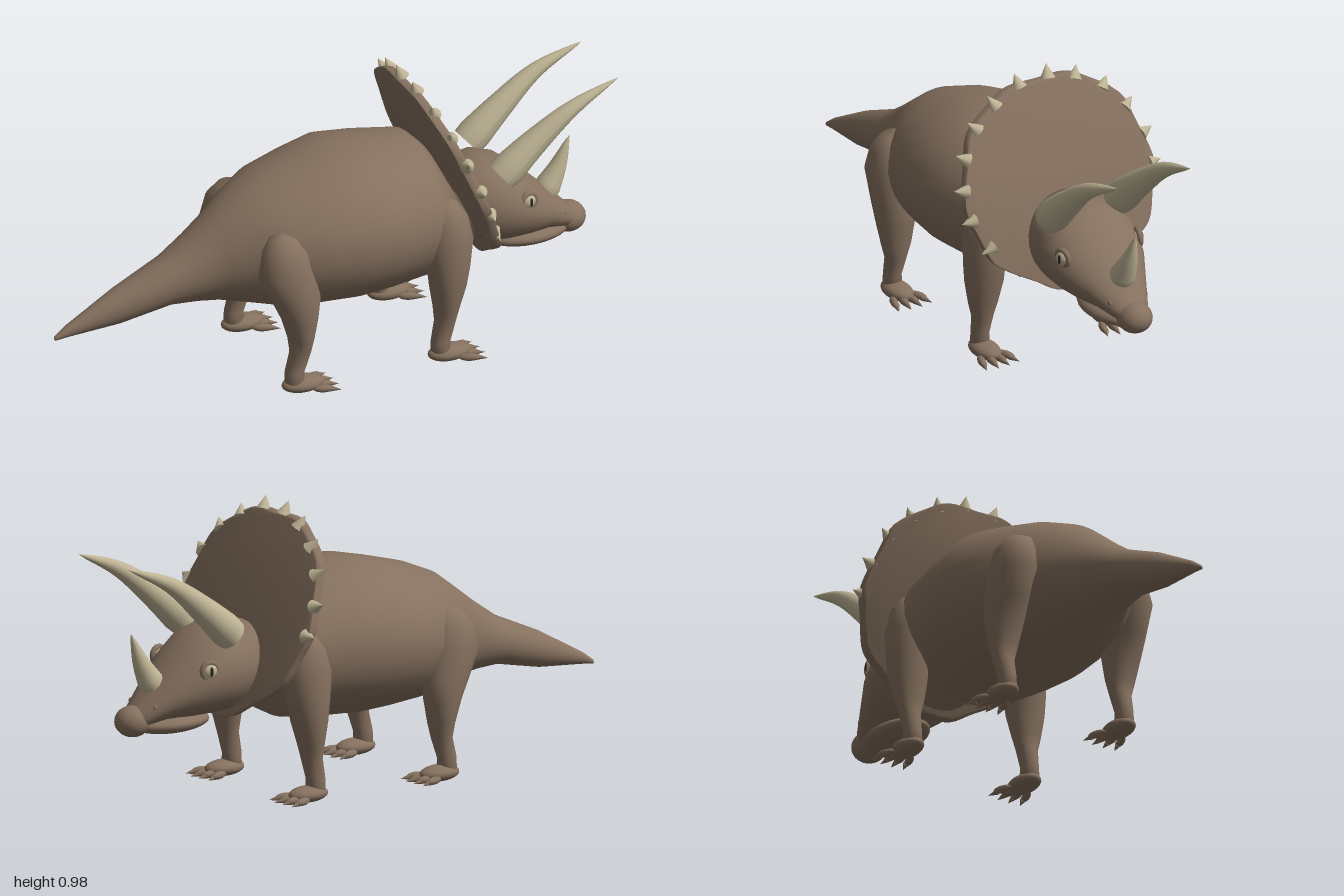
import * as THREE from 'three';
import { toCreasedNormals } from 'three/addons/utils/BufferGeometryUtils.js';

const mat = (name, color) => {
  const m = new THREE.MeshStandardMaterial({ color });
  m.name = name;
  return m;
};

// Skin of elliptical rings [t, c1, r1, c2, r2] along x (c1 = y, c2 = z) or y (c1 = x, c2 = z)
function loft(rings, axis, n = 28) {
  const pos = [], idx = [];
  rings.forEach(([t, c1, r1, c2, r2], i) => {
    for (let j = 0; j < n; j++) {
      const a = (j / n) * Math.PI * 2, c = Math.cos(a), s = Math.sin(a);
      if (axis === 'x') pos.push(t, c1 + r1 * c, c2 + r2 * s);
      else pos.push(c1 + r1 * s, t, c2 + r2 * c);
      if (i < rings.length - 1) {
        const p = i * n + j, q = i * n + ((j + 1) % n);
        idx.push(p, q, p + n, q, q + n, p + n);
      }
    }
  });
  const g = new THREE.BufferGeometry();
  g.setAttribute('position', new THREE.Float32BufferAttribute(pos, 3));
  g.setIndex(idx);
  g.computeVertexNormals();
  return g;
}

// Curved horn tapering to a point
function hornGeometry(points, radius, sides = 18) {
  const curve = new THREE.CatmullRomCurve3(points.map(p => new THREE.Vector3(...p)));
  const seg = 14, g = new THREE.TubeGeometry(curve, seg, radius, sides);
  const p = g.attributes.position, v = new THREE.Vector3();
  for (let i = 0; i <= seg; i++) {
    const c = curve.getPointAt(i / seg), k = i === 0 ? 0.9 : Math.pow(1 - i / seg, 0.8);
    for (let j = 0; j <= sides; j++) {
      const id = i * (sides + 1) + j;
      v.fromBufferAttribute(p, id).sub(c).multiplyScalar(k).add(c);
      p.setXYZ(id, v.x, v.y, v.z);
    }
  }
  g.computeVertexNormals();
  return g;
}

// The frill leans back: x of its front face at height y
const frillX = y => 0.295 + (0.95 - y) * 0.39;

export function createModel() {
  const root = new THREE.Group();
  root.name = 'hornedDinosaur';
  const skin = mat('brownSkin', 0x86715f);
  const bone = mat('paleHorn', 0xbdb293);
  const dark = mat('darkPupil', 0x2a231d);

  const add = (name, geo, material, parent = root) => {
    const m = new THREE.Mesh(geo, material);
    m.name = name;
    parent.add(m);
    return m;
  };
  const ball = (name, p, s, material = skin, parent = root) => {
    const m = add(name, new THREE.SphereGeometry(1, 24, 16), material, parent);
    m.position.set(...p);
    m.scale.set(...s);
    return m;
  };

  // Trunk and tail
  add('body', loft([
    [-1, 0.257, 0, 0, 0], [-0.995, 0.258, 0.008, 0, 0.008], [-0.95, 0.277, 0.021, 0, 0.019],
    [-0.77, 0.333, 0.063, 0, 0.056], [-0.59, 0.39, 0.084, 0, 0.09], [-0.5, 0.418, 0.117, 0, 0.114],
    [-0.42, 0.443, 0.152, 0, 0.142], [-0.33, 0.465, 0.195, 0, 0.2], [-0.22, 0.475, 0.23, 0, 0.275],
    [-0.09, 0.487, 0.252, 0, 0.308], [0.03, 0.498, 0.268, 0, 0.327], [0.15, 0.495, 0.26, 0, 0.312],
    [0.31, 0.49, 0.24, 0, 0.282], [0.35, 0.48, 0.21, 0, 0.25], [0.42, 0.45, 0.11, 0, 0.16],
    [0.43, 0.45, 0, 0, 0],
  ], 'x', 36), skin);

  // Head, beak and lower jaw
  add('head', loft([
    [0.4, 0.45, 0, 0, 0], [0.42, 0.455, 0.14, 0, 0.15], [0.56, 0.457, 0.155, 0, 0.178],
    [0.63, 0.443, 0.143, 0, 0.177], [0.7, 0.415, 0.116, 0, 0.155], [0.78, 0.376, 0.077, 0, 0.11],
    [0.86, 0.328, 0.046, 0, 0.066], [0.9, 0.31, 0.02, 0, 0.03], [0.905, 0.31, 0, 0, 0],
  ], 'x', 32), skin);
  ball('beak', [0.88, 0.306, 0], [0.062, 0.053, 0.06]);
  ball('lowerJaw', [0.73, 0.287, 0], [0.15, 0.037, 0.09]);

  // Neck frill: an outline mirrored in z, extruded and sheared backwards
  const half = [[0, 0.94], [0.12, 0.938], [0.2, 0.9], [0.3, 0.83], [0.335, 0.74], [0.372, 0.61],
    [0.345, 0.52], [0.31, 0.43], [0.26, 0.39], [0.16, 0.335], [0.09, 0.295], [0, 0.285]];
  const outline = [...half, ...half.slice(1, -1).reverse().map(([z, y]) => [-z, y])];
  const rim = new THREE.CatmullRomCurve3(outline.map(([z, y]) => new THREE.Vector3(z, y, 0)), true);
  const frillShape = new THREE.Shape(rim.getPoints(90).slice(0, -1).map(p => new THREE.Vector2(p.x, p.y)));
  let frill = new THREE.ExtrudeGeometry(frillShape, {
    depth: 0.02, bevelThickness: 0.007, bevelSize: 0.006, bevelOffset: -0.006, bevelSegments: 2,
  });
  frill.rotateY(Math.PI / 2).translate(-0.027, 0, 0);
  const fp = frill.attributes.position;
  for (let i = 0; i < fp.count; i++) fp.setX(i, fp.getX(i) + frillX(fp.getY(i)));
  frill.computeVertexNormals();
  frill = toCreasedNormals(frill, 0.7);
  add('frill', frill, skin);

  // Small spikes around the frill rim, as [z, y]
  const spikes = [[0.32, 0.47], [0.37, 0.57], [0.375, 0.67], [0.345, 0.77], [0.28, 0.855], [0.19, 0.915],
    [0.08, 0.958], [-0.04, 0.962], [-0.145, 0.935], [-0.245, 0.88], [-0.32, 0.8], [-0.367, 0.7], [-0.375, 0.6]];
  const up = new THREE.Vector3(0, 1, 0);
  for (const [z, y] of spikes) {
    const s = add('frillSpike', new THREE.ConeGeometry(0.026, 0.05, 12), bone);
    s.position.set(frillX(y) - 0.008, y, z);
    const dy = y - 0.58;
    s.quaternion.setFromUnitVectors(up, new THREE.Vector3(-0.39 * dy, dy, z).normalize());
  }

  // Nose horn
  add('noseHorn', hornGeometry([[0.8, 0.42, 0], [0.845, 0.5, 0], [0.887, 0.605, 0]], 0.047), bone);

  for (const side of [1, -1]) {
    // Brow horns
    add('browHorn', hornGeometry([[0.575, 0.585, 0.135 * side], [0.69, 0.685, 0.14 * side],
      [0.83, 0.79, 0.148 * side], [1, 0.865, 0.143 * side]], 0.061), bone);

    // Eyes, with lids and slit pupils
    const eye = new THREE.Group();
    eye.name = 'eye';
    eye.position.set(0.67, 0.477, 0.148 * side);
    eye.rotation.y = side > 0 ? 0.2 : Math.PI - 0.2;
    root.add(eye);
    add('eyelid', new THREE.TorusGeometry(0.027, 0.01, 10, 24), skin, eye);
    ball('eyeball', [0, 0, 0], [0.026, 0.026, 0.018], bone, eye);
    ball('pupil', [0, 0, 0.016], [0.006, 0.016, 0.004], dark, eye);
    ball('nostril', [0.835, 0.358, 0.071 * side], [0.01, 0.011, 0.006]);

    // Legs: ankle x, hip x and hip width
    for (const [name, ax, hx, k] of [['frontLeg', 0.305, 0.335, 1], ['hindLeg', -0.23, -0.255, 1.15]]) {
      const mid = (t) => ax + (hx - ax) * t + (k > 1 ? 0.035 : 0.008) * Math.sin(Math.PI * t);
      const leg = new THREE.Group();
      leg.name = name;
      root.add(leg);
      add(name + 'Limb', loft([
        [0.015, ax, 0, 0.24 * side, 0], [0.02, ax, 0.034, 0.24 * side, 0.035],
        [0.08, ax, 0.034, 0.24 * side, 0.03], [0.15, mid(0.3), 0.036, 0.24 * side, 0.038],
        [0.2, mid(0.4), 0.043, 0.24 * side, 0.053], [0.28, mid(0.6), 0.062, 0.24 * side, 0.067],
        [0.35, mid(0.75), 0.073 * k, 0.24 * side, 0.071], [0.45, hx, 0.086 * k, 0.235 * side, 0.076],
        [0.53, hx, 0.07 * k, 0.225 * side, 0.07], [0.575, hx, 0.042 * k, 0.21 * side, 0.05],
        [0.592, hx, 0, 0.2 * side, 0],
      ], 'y', 24), skin, leg);
      ball('foot', [ax + 0.03, 0.031, 0.24 * side], [0.075, 0.028, 0.045], skin, leg);
      // Toes fanning forward, each with a claw
      for (let i = 0; i < 4; i++) {
        const f = (i - 1.5) / 1.5, z = 0.24 * side + f * 0.04;
        const out = 0.012 * (1 - Math.abs(f));
        const toe = ball('toe', [ax + 0.085 + out, 0.02, z + f * 0.008], [0.036, 0.013, 0.013], skin, leg);
        toe.rotation.y = -f * 0.35;
        const claw = add('claw', new THREE.ConeGeometry(0.011, 0.04, 10), skin, leg);
        claw.position.set(ax + 0.125 + out, 0.015, z + f * 0.019);
        claw.rotation.set(0, -f * 0.35, -Math.PI / 2 - 0.15, 'YXZ');
      }
    }
  }
  return root;
}
